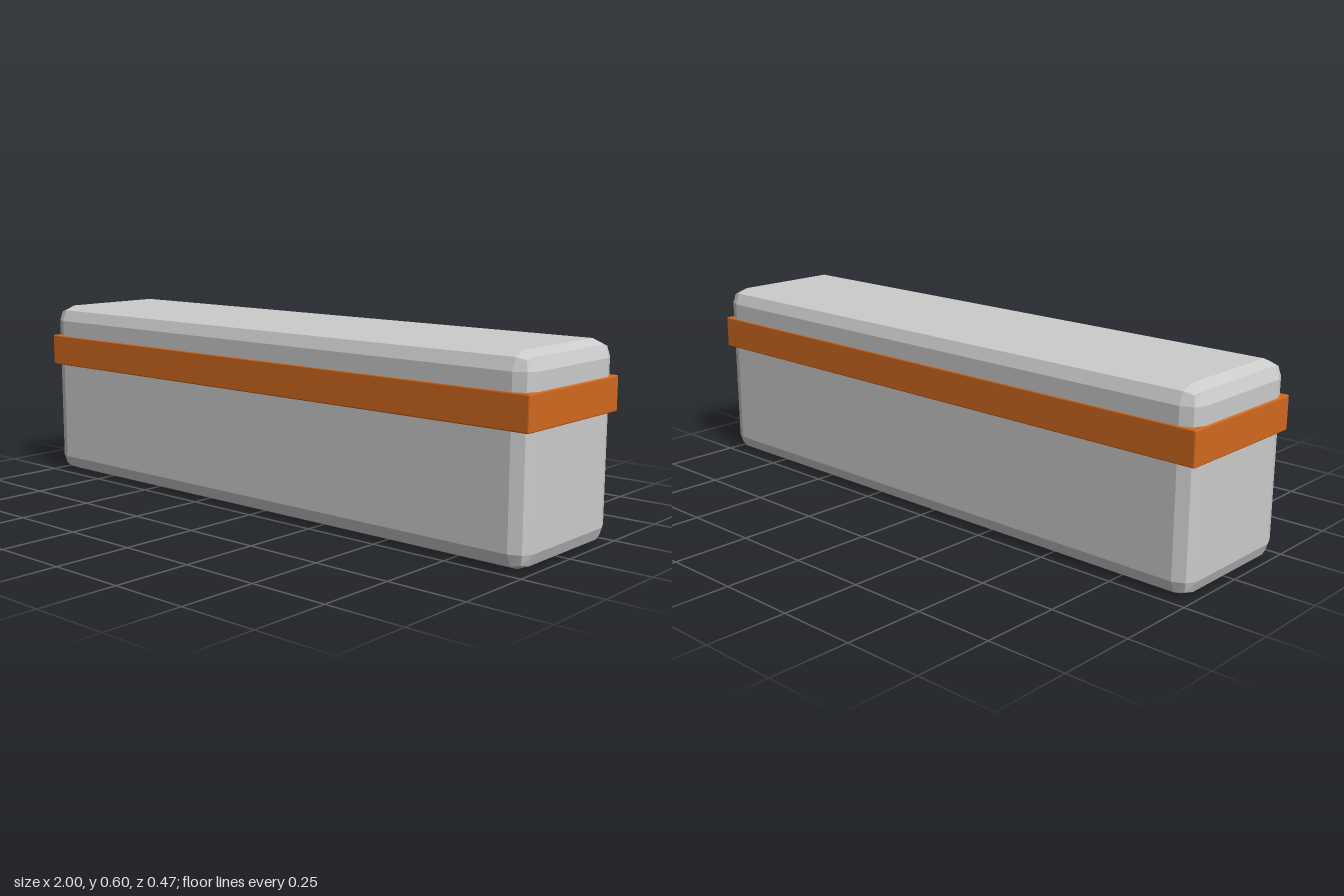
import * as THREE from 'three';
import { RoundedBoxGeometry } from 'three/addons/geometries/RoundedBoxGeometry.js';

// Box with two-facet bevels, spanning y0 to y1 and centred on x and z
function bevelBox(name, width, depth, y0, y1, bevel, color) {
  const mesh = new THREE.Mesh(
    new RoundedBoxGeometry(width, y1 - y0, depth, 1, bevel),
    new THREE.MeshStandardMaterial({ color, flatShading: true })
  );
  mesh.name = name;
  mesh.position.y = (y0 + y1) / 2;
  return mesh;
}

export function createModel() {
  const model = new THREE.Group();
  model.name = 'bandedCase';

  // Long case with broad bevelled edges
  model.add(bevelBox('caseBody', 1.99, 0.463, 0, 0.597, 0.052, 0xcccccc));

  // Orange band wrapped around the upper part, standing slightly proud
  model.add(bevelBox('band', 2, 0.469, 0.386, 0.491, 0.004, 0xd2691e));

  return model;
}
